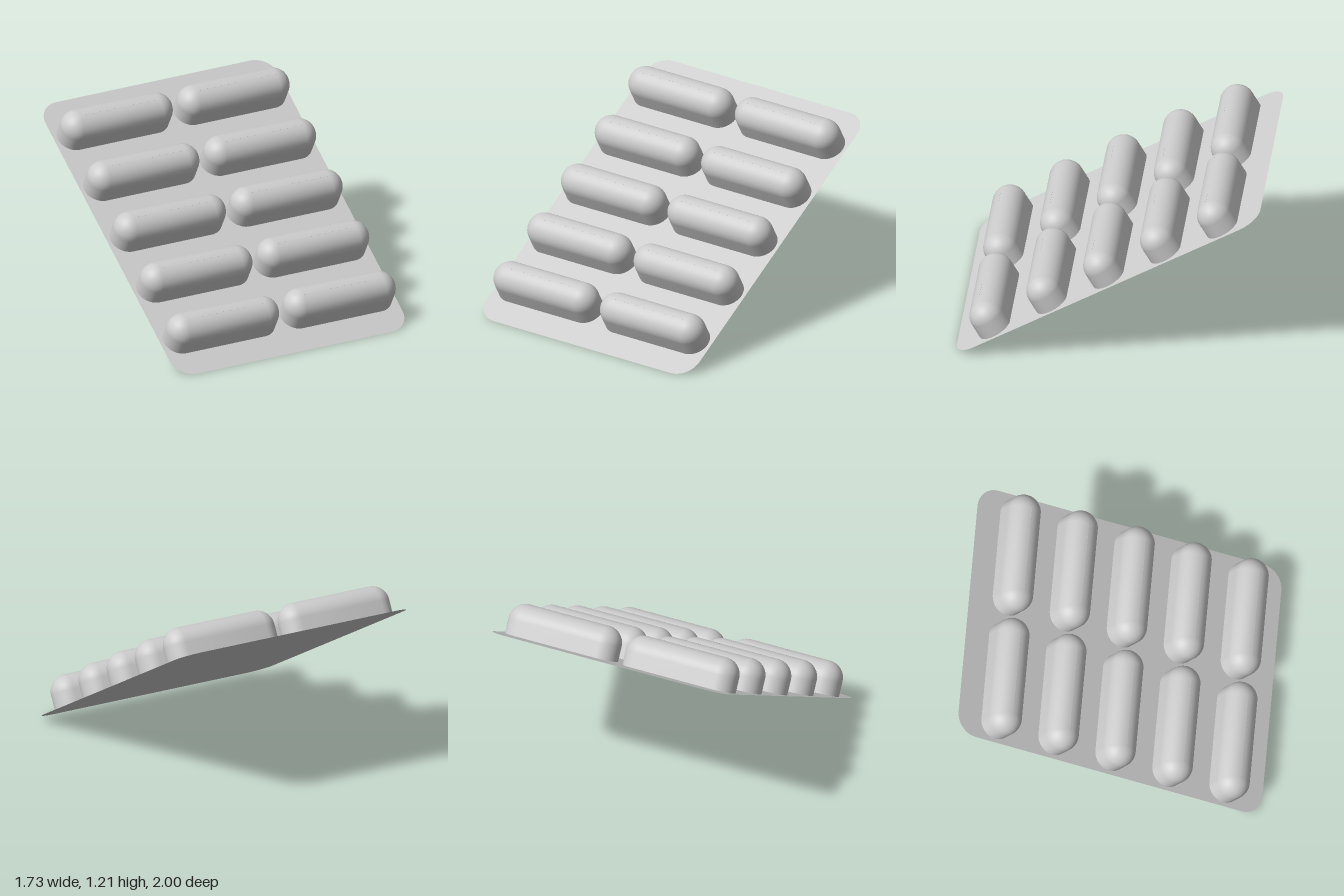
import * as THREE from 'three';

const WIDTH = 1.725, TILT = Math.PI / 6, LENGTH = 2 / Math.cos(TILT);
const RADIUS = 0.115, WALL = 0.103, HALF_STRAIGHT = 0.29;

const plastic = new THREE.MeshStandardMaterial({ color: 0xcccccc, side: THREE.DoubleSide });
plastic.name = 'greyPlastic';

// Thin sheet with rounded corners, lying flat
function cardGeometry(r = 0.145) {
  const x = WIDTH / 2, y = LENGTH / 2, s = new THREE.Shape();
  s.absarc(x - r, y - r, r, 0, Math.PI / 2);
  s.absarc(-x + r, y - r, r, Math.PI / 2, Math.PI);
  s.absarc(-x + r, -y + r, r, Math.PI, Math.PI * 1.5);
  s.absarc(x - r, -y + r, r, Math.PI * 1.5, Math.PI * 2);
  return new THREE.ShapeGeometry(s, 12).rotateX(-Math.PI / 2);
}

// Domed pocket: a round dome on a short wall, pulled apart along x
function pocketGeometry() {
  const segments = 36, steps = 12, profile = [new THREE.Vector2(RADIUS, 0)];
  for (let i = 0; i <= steps; i++) {
    const a = (i / steps) * Math.PI / 2;
    profile.push(new THREE.Vector2(Math.max(RADIUS * Math.cos(a), 1e-4), WALL + RADIUS * Math.sin(a)));
  }
  const g = new THREE.LatheGeometry(profile, segments).rotateY(Math.PI / segments);
  const p = g.attributes.position;
  for (let i = 0; i < p.count; i++) p.setX(i, p.getX(i) + Math.sign(p.getX(i)) * HALF_STRAIGHT);
  return g;
}

export function createModel() {
  const model = new THREE.Group();
  model.name = 'blisterPack';
  const pack = new THREE.Group();
  pack.name = 'tiltedPack';

  const card = new THREE.Mesh(cardGeometry(), plastic);
  card.name = 'backingCard';
  pack.add(card);

  // Two columns of five pockets
  const pocket = pocketGeometry();
  for (const side of [-1, 1]) {
    for (let row = -2; row <= 2; row++) {
      const m = new THREE.Mesh(pocket, plastic);
      m.name = `${side < 0 ? 'right' : 'left'}Pocket${row + 3}`;
      m.position.set(side * 0.432, 0, row * 0.433);
      pack.add(m);
    }
  }

  // Lean the pack back with its front edge on the ground
  pack.rotation.x = TILT;
  pack.position.y = Math.sin(TILT) * LENGTH / 2;
  model.add(pack);
  return model;
}
